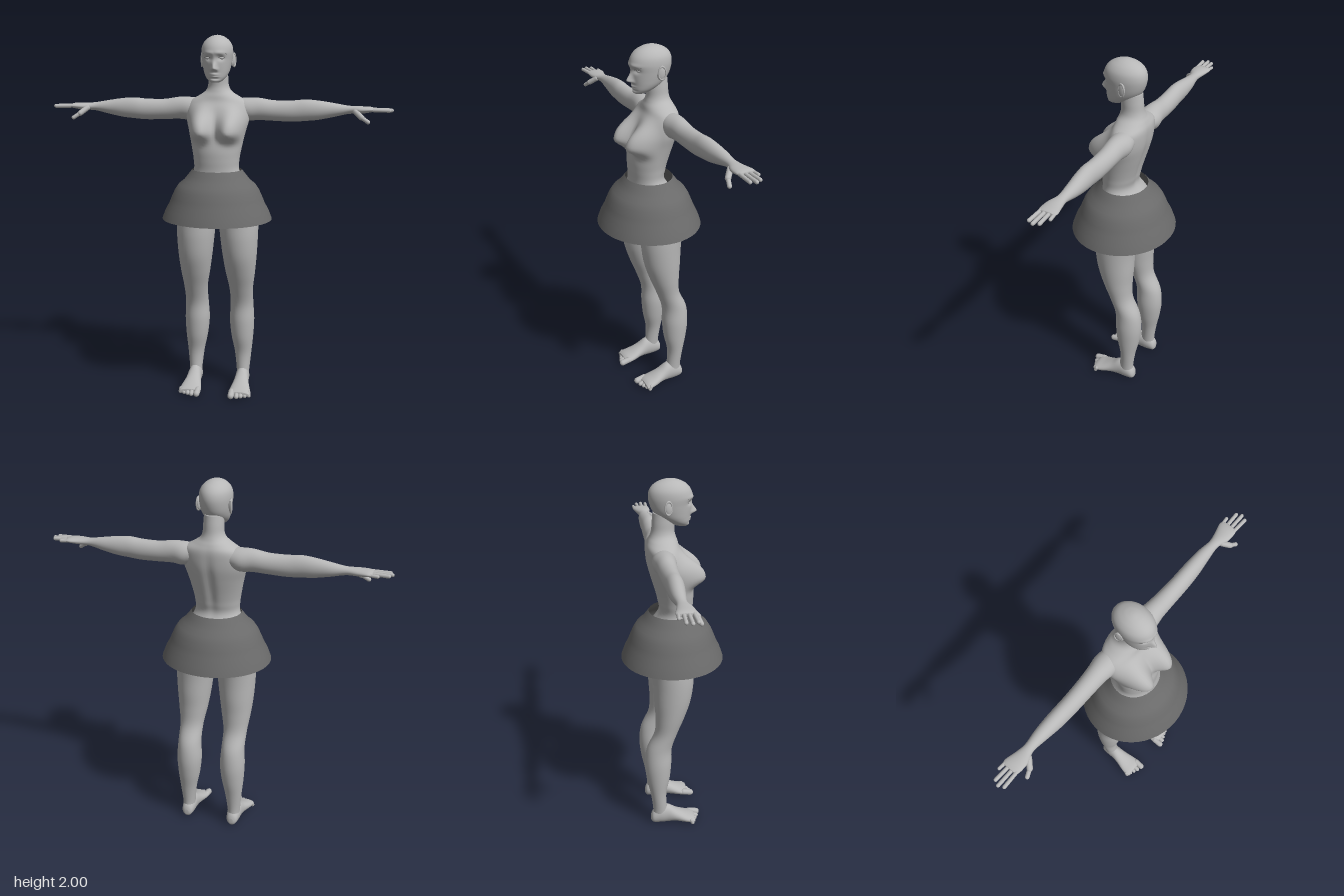
import * as THREE from 'three';

const skin = new THREE.MeshStandardMaterial({ color: 0xb8b8b8 });
skin.name = 'skinGrey';
const cloth = new THREE.MeshStandardMaterial({ color: 0x6a6a6a, side: THREE.DoubleSide });
cloth.name = 'skirtGrey';

function mesh(parent, name, geometry, material = skin) {
  const m = new THREE.Mesh(geometry, material);
  m.name = name;
  parent.add(m);
  return m;
}

// Smooth loft of elliptical rings [t, aMin, aMax, bMin, bMax] along an axis;
// (a, b) are (x, z) for axis y, (y, z) for axis x and (x, y) for axis z.
function loft(axis, rings, { sides = 32, sub = 5, shape } = {}) {
  const cr = (p, q, r, s, f) => {
    const v0 = (r - p) / 2, v1 = (s - q) / 2;
    return (2 * q - 2 * r + v0 + v1) * f ** 3 + (3 * r - 3 * q - 2 * v0 - v1) * f * f + v0 * f + q;
  };
  const n = rings.length, rows = [];
  for (let i = 0; i < n - 1; i++) {
    for (let k = 0; k < sub; k++) {
      const R = (j) => rings[Math.min(n - 1, Math.max(0, j))];
      rows.push(rings[i].map((_, c) => cr(R(i - 1)[c], R(i)[c], R(i + 1)[c], R(i + 2)[c], k / sub)));
    }
  }
  rows.push(rings[n - 1]);
  const pos = [], index = [];
  const push = (t, a, b) => {
    const p = axis === 'y' ? [a, t, b] : axis === 'x' ? [t, a, b] : [a, b, t];
    const v = new THREE.Vector3(...p);
    if (shape) shape(v);
    pos.push(v.x, v.y, v.z);
  };
  for (const [t, a0, a1, b0, b1] of rows) {
    for (let j = 0; j < sides; j++) {
      const w = (j / sides) * Math.PI * 2;
      push(t, (a0 + a1) / 2 + (a1 - a0) / 2 * Math.cos(w), (b0 + b1) / 2 + (b1 - b0) / 2 * Math.sin(w));
    }
  }
  const tri = (a, b, c) => (axis === 'y' ? index.push(a, c, b) : index.push(a, b, c));
  for (let i = 0; i < rows.length - 1; i++) {
    for (let j = 0; j < sides; j++) {
      const k = (j + 1) % sides, p = i * sides, q = p + sides;
      tri(p + j, p + k, q + k);
      tri(p + j, q + k, q + j);
    }
  }
  // End caps
  const last = (rows.length - 1) * sides;
  for (const [row, base, end] of [[rows[0], 0, false], [rows[rows.length - 1], last, true]]) {
    const c = pos.length / 3;
    push(row[0], (row[1] + row[2]) / 2, (row[3] + row[4]) / 2);
    for (let j = 0; j < sides; j++) {
      const k = (j + 1) % sides;
      if (end) tri(base + j, base + k, c);
      else tri(base + k, base + j, c);
    }
  }
  const g = new THREE.BufferGeometry();
  g.setAttribute('position', new THREE.Float32BufferAttribute(pos, 3));
  g.setIndex(index);
  g.computeVertexNormals();
  return g;
}

// Round-ended digit between two points
function digit(parent, name, from, to, r) {
  const a = new THREE.Vector3(...from), b = new THREE.Vector3(...to), d = b.clone().sub(a);
  const m = mesh(parent, name, new THREE.CapsuleGeometry(r, d.length(), 5, 12));
  m.position.copy(a).add(b).multiplyScalar(0.5);
  m.quaternion.setFromUnitVectors(new THREE.Vector3(0, 1, 0), d.normalize());
}

const bump = (x, y, cx, cy, sx, sy) => Math.exp(-(((x - cx) / sx) ** 2) - ((y - cy) / sy) ** 2);

// Chest and spine relief
function shapeTorso(v) {
  const ax = Math.abs(v.x);
  if (v.z > 0) {
    const d = ((ax - 0.085) / 0.062) ** 2 + ((v.y - 1.5) / (v.y < 1.5 ? 0.052 : 0.1)) ** 2;
    v.z += 0.086 * Math.exp(-(d ** 1.3)) * THREE.MathUtils.smoothstep(v.z, 0, 0.05);
  } else if (v.z < -0.05) {
    v.z += 0.012 * bump(v.x, v.y, 0, 1.45, 0.025, 0.16);
  }
}

// Facial relief
function shapeFace(v) {
  if (v.z < 0.02) return;
  const ax = Math.abs(v.x);
  v.z += 0.03 * bump(v.x, v.y, 0, 1.828, 0.013, v.y < 1.828 ? 0.01 : 0.03);
  v.z += 0.008 * bump(ax, v.y, 0.012, 1.823, 0.009, 0.01);
  v.z -= 0.012 * bump(ax, v.y, 0.033, 1.882, 0.018, 0.013);
  v.z += 0.005 * bump(ax, v.y, 0.03, 1.908, 0.03, 0.01);
  v.z += 0.007 * bump(v.x, v.y, 0, 1.797, 0.02, 0.006);
  v.z += 0.006 * bump(v.x, v.y, 0, 1.785, 0.018, 0.005);
  v.z -= 0.005 * bump(v.x, v.y, 0, 1.775, 0.025, 0.006);
}

function buildSide(side) {
  mesh(side, 'leg', loft('y', [
    [0.05, 0.105, 0.172, -0.135, -0.04], [0.1, 0.102, 0.175, -0.132, -0.05],
    [0.2, 0.09, 0.185, -0.145, -0.055], [0.3, 0.07, 0.195, -0.165, -0.035],
    [0.4, 0.06, 0.2, -0.175, -0.025], [0.5, 0.065, 0.195, -0.163, -0.022],
    [0.6, 0.063, 0.197, -0.118, 0.01], [0.7, 0.045, 0.21, -0.112, 0.05],
    [0.8, 0.03, 0.22, -0.118, 0.083], [0.9, 0.018, 0.226, -0.122, 0.098],
    [0.98, 0.01, 0.228, -0.132, 0.1], [1.03, 0.008, 0.225, -0.155, 0.1],
    [1.1, 0.015, 0.21, -0.155, 0.09]]));

  mesh(side, 'foot', loft('z', [
    [-0.145, 0.125, 0.15, 0.02, 0.05], [-0.132, 0.108, 0.168, 0.005, 0.08],
    [-0.09, 0.1, 0.176, 0, 0.115], [-0.045, 0.1, 0.177, 0.001, 0.115],
    [0, 0.094, 0.184, 0.004, 0.085], [0.05, 0.084, 0.197, 0, 0.06],
    [0.09, 0.08, 0.203, 0, 0.045], [0.108, 0.088, 0.197, 0.006, 0.034]], { sides: 24 }));
  for (let i = 0; i < 5; i++) {
    const x = i ? 0.105 + i * 0.0225 : 0.097, r = i ? 0.0135 - i * 0.0006 : 0.018;
    digit(side, 'toe', [x, 0.026, 0.085], [x + 0.001, r, 0.128 - i * 0.01 + (i ? 0.004 : 0)], r);
  }

  mesh(side, 'arm', loft('x', [
    [0.08, 1.575, 1.66, -0.11, -0.01], [0.15, 1.545, 1.668, -0.125, 0.0],
    [0.22, 1.548, 1.668, -0.115, -0.008], [0.3, 1.545, 1.656, -0.11, -0.012],
    [0.4, 1.542, 1.656, -0.106, -0.014], [0.47, 1.547, 1.662, -0.104, -0.015],
    [0.54, 1.554, 1.657, -0.104, -0.02], [0.62, 1.57, 1.645, -0.1, -0.03],
    [0.7, 1.588, 1.632, -0.09, -0.037], [0.76, 1.59, 1.63, -0.1, -0.018],
    [0.81, 1.597, 1.628, -0.112, -0.016], [0.835, 1.603, 1.622, -0.108, -0.022]]));
  const tips = [[0.915, -0.026], [0.928, -0.053], [0.915, -0.08], [0.865, -0.104]];
  tips.forEach(([x, z], i) =>
    digit(side, 'finger', [0.81, 1.612, -0.03 - i * 0.023], [x - 0.003, 1.61, z], 0.0098 - (i === 3 ? 0.001 : 0)));
  digit(side, 'thumbBase', [0.735, 1.603, -0.035], [0.768, 1.575, -0.004], 0.015);
  digit(side, 'thumbTip', [0.768, 1.575, -0.004], [0.803, 1.552, 0.008], 0.011);

  // Ear with rim
  const ear = mesh(side, 'ear', new THREE.SphereGeometry(1, 20, 14));
  ear.scale.set(0.009, 0.036, 0.022);
  ear.position.set(0.083, 1.868, -0.028);
  ear.rotation.set(-0.15, -0.25, 0);
  const rim = mesh(side, 'earRim', new THREE.TorusGeometry(0.024, 0.0045, 8, 24));
  rim.scale.set(0.8, 1.4, 1);
  rim.rotation.set(0, Math.PI / 2 - 0.25, 0);
  rim.position.set(0.088, 1.869, -0.03);

  // Eyelid, brow and lash
  const lid = mesh(side, 'eyelid', new THREE.SphereGeometry(1, 18, 12));
  lid.scale.set(0.016, 0.009, 0.012);
  lid.position.set(0.035, 1.882, 0.074);
  const strand = (name, pts, r) => mesh(side, name, new THREE.TubeGeometry(
    new THREE.CatmullRomCurve3(pts.map((p) => new THREE.Vector3(...p))), 14, r, 6), cloth);
  strand('eyebrow', [[0.015, 1.902, 0.104], [0.038, 1.909, 0.095], [0.06, 1.902, 0.071]], 0.002);
  strand('eyelash', [[0.018, 1.885, 0.092], [0.035, 1.889, 0.087], [0.054, 1.884, 0.072]], 0.002);
}

export function createModel() {
  const model = new THREE.Group();
  model.name = 'figure';

  // Pelvis, trunk and neck as one skin: [y, half width, back z, front z]
  const trunk = [
    [1.02, 0.04, -0.08, 0.04], [1.05, 0.13, -0.14, 0.08], [1.1, 0.205, -0.158, 0.105],
    [1.2, 0.165, -0.12, 0.112], [1.28, 0.125, -0.073, 0.108], [1.34, 0.125, -0.08, 0.112],
    [1.4, 0.135, -0.095, 0.113], [1.48, 0.152, -0.118, 0.1], [1.55, 0.17, -0.135, 0.08],
    [1.61, 0.172, -0.141, 0.055], [1.65, 0.155, -0.14, 0.035], [1.68, 0.105, -0.13, 0.027],
    [1.705, 0.07, -0.118, 0.018], [1.735, 0.056, -0.109, 0.012], [1.78, 0.053, -0.105, 0.015],
    [1.83, 0.05, -0.1, 0.02]];
  mesh(model, 'trunkAndNeck',
    loft('y', trunk.map(([y, w, b, f]) => [y, -w, w, b, f]), { sides: 72, sub: 6, shape: shapeTorso }));

  const head = [
    [1.754, 0.02, 0.03, 0.08], [1.762, 0.035, 0.005, 0.089], [1.78, 0.053, -0.03, 0.091],
    [1.805, 0.066, -0.07, 0.093], [1.835, 0.074, -0.1, 0.097], [1.87, 0.08, -0.116, 0.1],
    [1.91, 0.084, -0.123, 0.106], [1.945, 0.079, -0.116, 0.096], [1.972, 0.062, -0.094, 0.073],
    [1.99, 0.038, -0.06, 0.04], [1.998, 0.016, -0.03, 0.01], [2.0, 0.001, -0.011, -0.009]];
  mesh(model, 'head',
    loft('y', head.map(([y, w, b, f]) => [y, -w, w, b, f]), { sides: 96, sub: 8, shape: shapeFace }));

  // Flared skirt, open at waist and hem
  const profile = [[0.302, 1.012], [0.284, 1.06], [0.262, 1.1], [0.25, 1.13], [0.232, 1.17],
    [0.21, 1.203], [0.182, 1.225], [0.158, 1.255], [0.136, 1.283]];
  const skirt = mesh(model, 'skirt',
    new THREE.LatheGeometry(profile.map((p) => new THREE.Vector2(...p)), 48), cloth);
  skirt.scale.z = 0.925;

  // Paired limbs and features
  for (const [name, s] of [['leftSide', 1], ['rightSide', -1]]) {
    const side = new THREE.Group();
    side.name = name;
    buildSide(side);
    side.scale.x = s;
    model.add(side);
  }
  return model;
}
